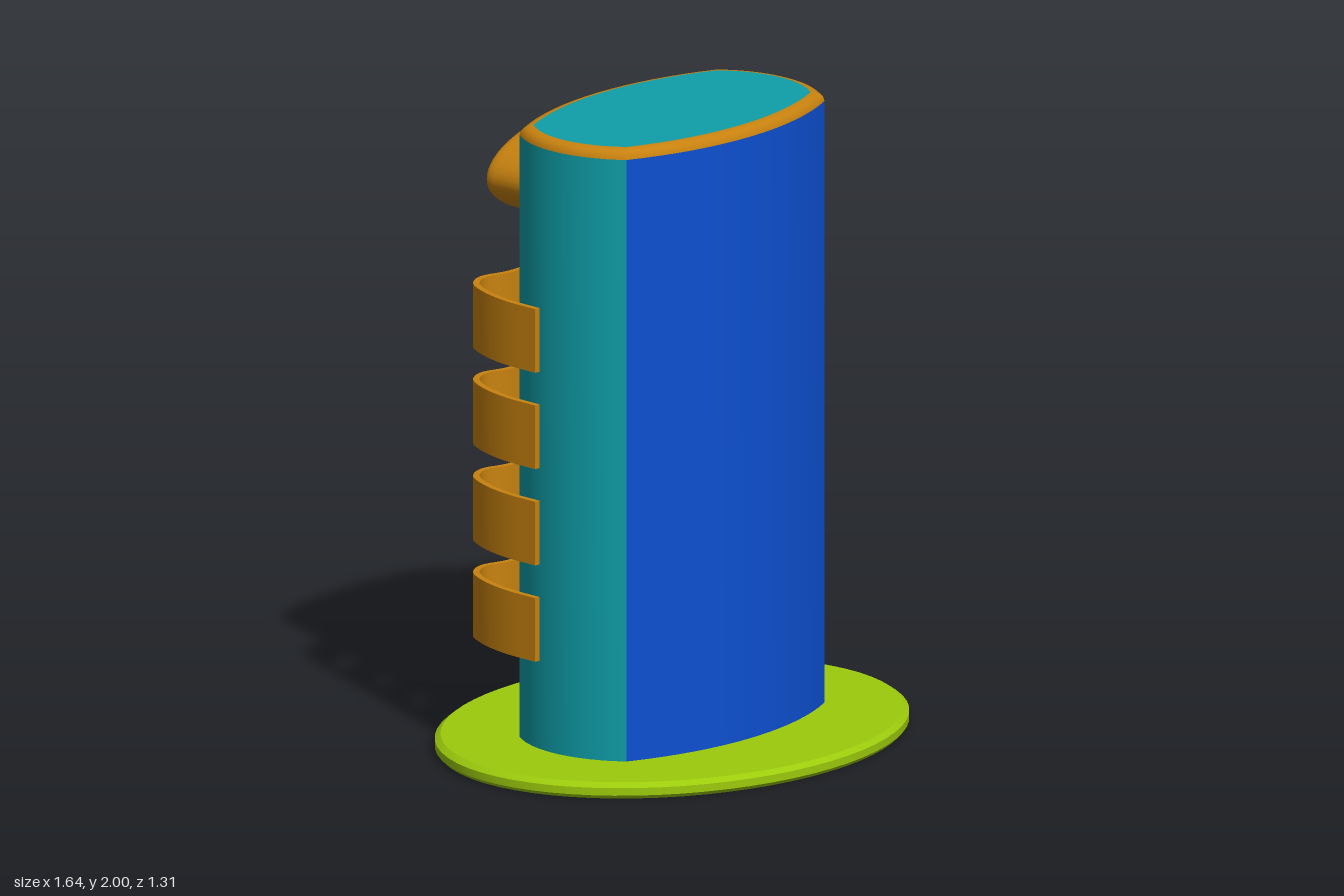
import * as THREE from 'three';
import { toCreasedNormals } from 'three/addons/utils/BufferGeometryUtils.js';

const material = (name, color) => {
  const m = new THREE.MeshStandardMaterial({ color });
  m.name = name;
  return m;
};

// Arc of half-chord h and rise s, crown at distance d, turned about y; points are (x, z)
function arc(h, s, d, turn, n = 16) {
  const R = (h * h + s * s) / (2 * s), T = Math.asin(h / R), pts = [];
  const c = Math.cos(turn), k = Math.sin(turn);
  for (let i = 0; i <= n; i++) {
    const t = -T + (2 * T * i) / n;
    const x = R * Math.sin(t), z = d - R + R * Math.cos(t);
    pts.push([x * c + z * k, -x * k + z * c]);
  }
  return pts;
}

// Pull a body outline point inward by an amount
const inset = ([x, z], a) => [x * (1 - a / 0.535), z * (1 - a / 0.325)];

// Wall over an outline; the profile lists [height, inset] from bottom to top
function wall(outline, profile) {
  const pos = [], index = [], n = outline.length;
  profile.forEach(([y, a], j) => outline.forEach((p, i) => {
    const [x, z] = inset(p, a);
    pos.push(x, y, z);
    if (i && j) {
      const q = j * n + i;
      index.push(q - n - 1, q - n, q - 1, q - n, q, q - 1);
    }
  }));
  const g = new THREE.BufferGeometry();
  g.setAttribute('position', new THREE.Float32BufferAttribute(pos, 3));
  g.setIndex(index);
  g.computeVertexNormals();
  return g;
}

// Turned profile with crisp edges
function turned(points) {
  const g = new THREE.LatheGeometry(points.map(p => new THREE.Vector2(...p)), 64);
  return g;
}

export function createModel() {
  const model = new THREE.Group();
  const blue = material('blue', 0x0d50d2);
  const teal = material('teal', 0x0f9ea8);
  const orange = material('orange', 0xc8820f);
  const lime = material('lime', 0x9ccb0c);
  const add = (name, geometry, mat, parent = model) => {
    const m = new THREE.Mesh(geometry, mat);
    m.name = name;
    parent.add(m);
    return m;
  };

  // Oval base with a bevelled edge
  const base = turned([[0, 0], [0.985, 0], [1, 0.012], [1, 0.036], [0.975, 0.05], [0, 0.05]]);
  base.scale(0.818, 1, 0.655);
  add('base', toCreasedNormals(base, 0.4), lime);

  // Body: four curved walls, each with a rounded rim section
  const body = new THREE.Group();
  body.name = 'body';
  model.add(body);
  const rim = [[1.97, 0], [1.984, 0.004], [1.994, 0.015], [1.999, 0.028], [2, 0.04]];
  const topOutline = [];
  ['front', 'left', 'back', 'right'].forEach((side, i) => {
    const broad = i % 2 === 0;
    const outline = broad
      ? arc(0.46, 0.105, 0.325, (i * Math.PI) / 2)
      : arc(0.22, 0.075, 0.535, (i * Math.PI) / 2);
    add(side + 'Wall', wall(outline, [[0.04, 0], [1.97, 0]]), broad ? blue : teal, body);
    add(side + 'Rim', wall(outline, rim), orange, body);
    outline.slice(0, -1).forEach(p => {
      const [x, z] = inset(p, 0.04);
      topOutline.push(new THREE.Vector2(x, -z));
    });
  });

  // Flat top panel
  const top = new THREE.ShapeGeometry(new THREE.Shape(topOutline));
  top.rotateX(-Math.PI / 2).translate(0, 2, 0);
  add('topPanel', top, teal, body);

  // Oval boss on the back with a flat coloured face
  const boss = turned([[1, 0.2], [1, 0.372], [0.995, 0.392], [0.982, 0.404], [0.96, 0.41], [0, 0.41]]);
  boss.scale(0.412, 1, 0.155).rotateX(-Math.PI / 2).translate(0, 1.785, 0);
  add('backBoss', toCreasedNormals(boss, 0.6), orange);
  const face = new THREE.CircleGeometry(1, 64);
  face.scale(0.396, 0.149, 1).rotateY(Math.PI).translate(0, 1.785, -0.412);
  add('backBossFace', face, lime);

  // Wavy bands wrapping the back, with open ends at the sides
  const half = [[0.625, 0], [0.612, -0.14], [0.575, -0.26], [0.525, -0.34], [0.455, -0.373],
    [0.36, -0.352], [0.2, -0.358]];
  const path = [...half, [0, -0.367], ...half.map(([x, z]) => [-x, z]).reverse()];
  const curve = new THREE.CatmullRomCurve3(path.map(([x, z]) => new THREE.Vector3(x, -z, 0)));
  const outer = [], inner = [];
  for (let i = 0; i <= 64; i++) {
    const p = curve.getPoint(i / 64), t = curve.getTangent(i / 64);
    outer.push(new THREE.Vector2(p.x + t.y * 0.01, p.y - t.x * 0.01));
    inner.unshift(new THREE.Vector2(p.x - t.y * 0.01, p.y + t.x * 0.01));
  }
  const strip = new THREE.ExtrudeGeometry(new THREE.Shape([...outer, ...inner]),
    { depth: 0.203, bevelEnabled: false });
  strip.rotateX(-Math.PI / 2);
  const band = toCreasedNormals(strip, 0.6);
  for (let i = 0; i < 4; i++) add('band' + (i + 1), band, orange).position.y = 0.364 + i * 0.3075;

  return model;
}
